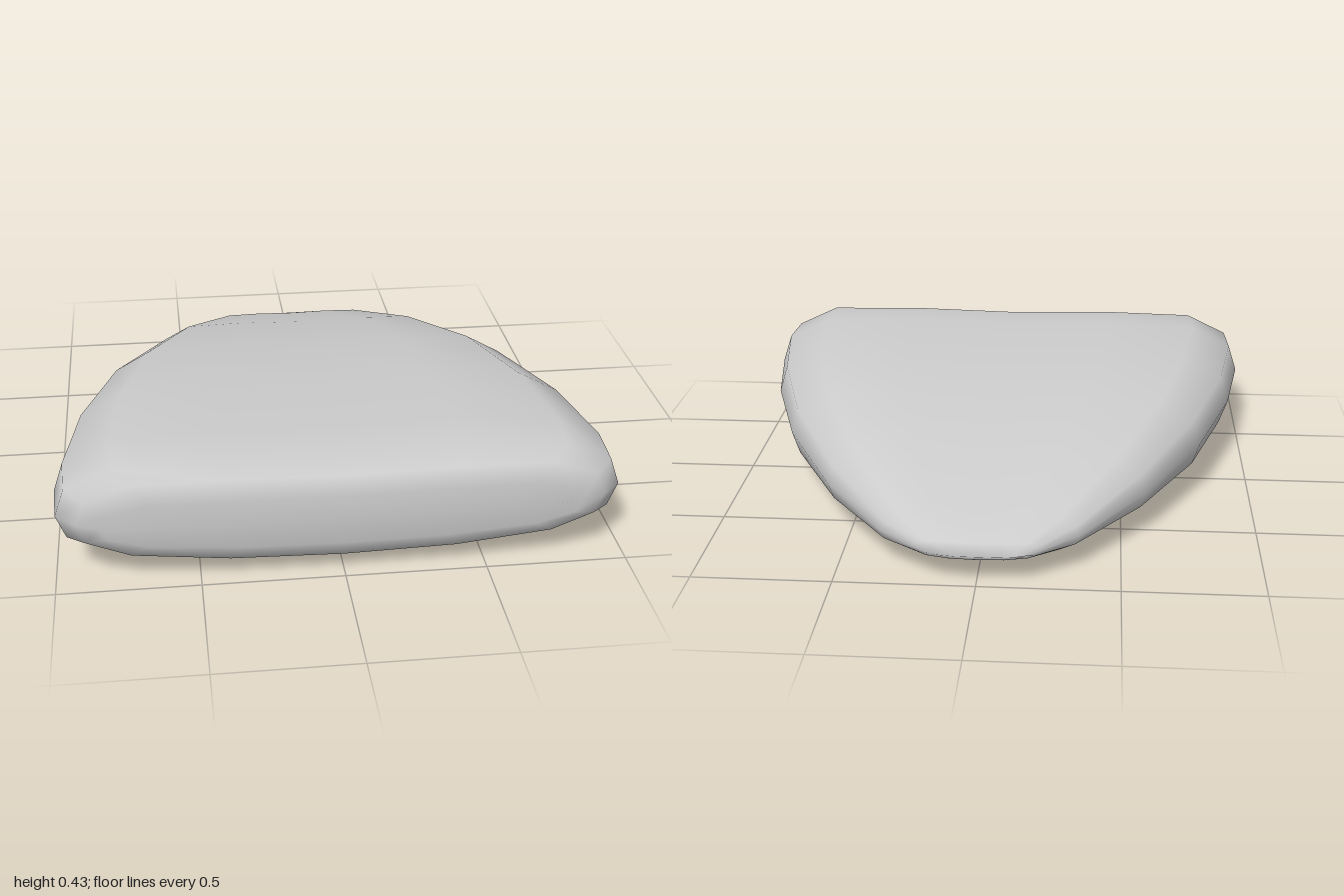
import * as THREE from 'three';
import { mergeVertices } from 'three/addons/utils/BufferGeometryUtils.js';

// Half outline of a cross-section, top centre to bottom centre: x as a share of half width, y as a share of thickness
const half = [[0, 0.975], [0.43, 1], [0.8, 0.98], [0.965, 0.78], [1, 0.52], [0.965, 0.3], [0.8, 0.13], [0.43, 0.03], [0, 0]];
const outline = [...half, ...half.slice(1, -1).reverse().map(([x, y]) => [-x, y])];

// Sections from the blunt front to the thin back: z, half width, bottom, top, inward bend of z at the sides
const sections = [
  [0.985, 0.76, 0.225, 0.225, 0.02],
  [0.985, 0.84, 0.13, 0.32, 0.02],
  [0.962, 0.92, 0.07, 0.39, 0.02],
  [0.875, 0.99, 0.035, 0.425, 0],
  [0.69, 1.0, 0.015, 0.43, 0],
  [0.31, 0.94, 0.003, 0.42, 0],
  [-0.12, 0.805, 0.005, 0.38, 0],
  [-0.53, 0.59, 0.03, 0.293, 0],
  [-0.84, 0.35, 0.058, 0.195, 0],
  [-0.95, 0.22, 0.08, 0.145, -0.02],
  [-0.99, 0.165, 0.11, 0.11, -0.02],
];

function loftGeometry() {
  const positions = [];
  const index = [];
  const n = outline.length;
  for (const [z, w, bottom, top, bend] of sections) {
    for (const [u, v] of outline) {
      positions.push(u * w, bottom + v * (top - bottom), z - bend * u ** 4);
    }
  }
  for (let i = 0; i < sections.length - 1; i++) {
    for (let j = 0; j < n; j++) {
      const a = i * n + j;
      const b = i * n + (j + 1) % n;
      index.push(a, b, a + n, b, b + n, a + n);
    }
  }
  const geometry = new THREE.BufferGeometry();
  geometry.setAttribute('position', new THREE.Float32BufferAttribute(positions, 3));
  geometry.setIndex(index);
  // Weld the end seams so the shading stays smooth
  const welded = mergeVertices(geometry, 1e-4);
  welded.computeVertexNormals();
  return welded;
}

export function createModel() {
  const group = new THREE.Group();
  group.name = 'cushion';
  const material = new THREE.MeshStandardMaterial({ color: 0xcccccc });
  // Rounded wedge that tapers in width and thickness toward the back
  const body = new THREE.Mesh(loftGeometry(), material);
  body.name = 'taperedBody';
  group.add(body);
  return group;
}
